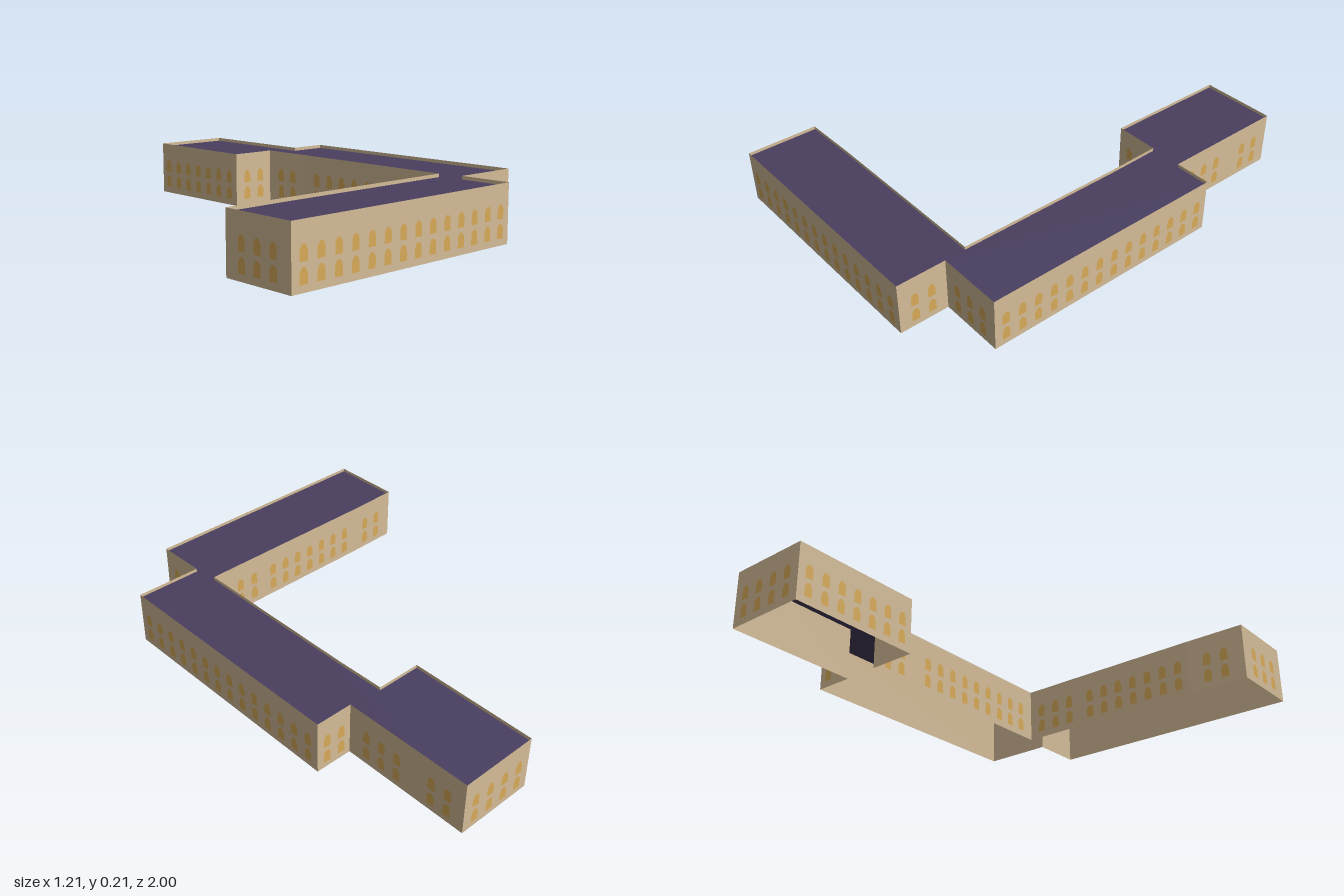
import * as THREE from 'three';
import { mergeGeometries } from 'three/addons/utils/BufferGeometryUtils.js';

const HEIGHT = 0.213, ROOF_Y = 0.2, SPACING = 0.07;

// Footprint corners: x, z, and the number of window columns on the wall to the next corner
const CORNERS = [
  [-0.362, -0.89, 4],
  [-0.07, -1.0, 2],
  [0.005, -0.802, 3],
  [0.113, -0.518, 2],
  [0.252, -0.57, 14],
  [0.605, 0.369, 3],
  [0.354, 0.461, 2],
  [0.426, 0.648, 14],
  [-0.504, 1.0, 3],
  [-0.605, 0.73, 2],
  [-0.391, 0.644, 7],
  [0.07, 0.469, 3],
  [0.308, 0.379, 9],
  [0.062, -0.278, 2],
  [-0.016, -0.474, 2],
  [-0.185, -0.411, 7],
];

// Window outline with a coarse arched head
function windowShape() {
  const w = 0.0155, h = 0.051;
  return new THREE.Shape([
    [-w, 0], [w, 0], [w, h * 0.66], [w * 0.72, h * 0.87], [w * 0.3, h],
    [-w * 0.3, h], [-w * 0.72, h * 0.87], [-w, h * 0.66],
  ].map(([x, y]) => new THREE.Vector2(x, y)));
}

export function createModel() {
  const wallMat = new THREE.MeshStandardMaterial({ name: 'tanStone', color: 0xd4bc98, side: THREE.DoubleSide });
  const roofMat = new THREE.MeshStandardMaterial({ name: 'purpleSlate', color: 0x4a3f60, side: THREE.DoubleSide });
  const windowMat = new THREE.MeshStandardMaterial({ name: 'goldenGlass', color: 0xd8ab58 });

  const walls = [], windows = [];
  const pane = new THREE.ShapeGeometry(windowShape());

  CORNERS.forEach(([x0, z0, count], i) => {
    const [x1, z1] = CORNERS[(i + 1) % CORNERS.length];
    const dx = x1 - x0, dz = z1 - z0, length = Math.hypot(dx, dz);
    // Turn +z to the outward normal and move to the middle of the wall
    const place = new THREE.Matrix4()
      .makeRotationY(Math.atan2(dz, -dx))
      .setPosition((x0 + x1) / 2, 0, (z0 + z1) / 2);

    walls.push(new THREE.PlaneGeometry(length, HEIGHT)
      .translate(0, HEIGHT / 2, 0).applyMatrix4(place));

    // Two storeys of evenly spaced windows, centred on the wall
    const step = Math.min(SPACING, length / (count + 0.3));
    for (let c = 0; c < count; c++) {
      for (const y of [0.025, 0.092]) {
        windows.push(pane.clone()
          .translate((c - (count - 1) / 2) * step, y, 0.002).applyMatrix4(place));
      }
    }
  });

  // Flat roof set just below the top of the walls
  const roofShape = new THREE.Shape(CORNERS.map(([x, z]) => new THREE.Vector2(x, -z)));
  const roofGeo = new THREE.ShapeGeometry(roofShape).rotateX(-Math.PI / 2).translate(0, ROOF_Y, 0);

  const group = new THREE.Group();
  group.name = 'building';
  const add = (name, geometry, material) => {
    const mesh = new THREE.Mesh(geometry, material);
    mesh.name = name;
    group.add(mesh);
  };
  add('walls', mergeGeometries(walls), wallMat);
  add('windows', mergeGeometries(windows), windowMat);
  add('roof', roofGeo, roofMat);
  return group;
}
